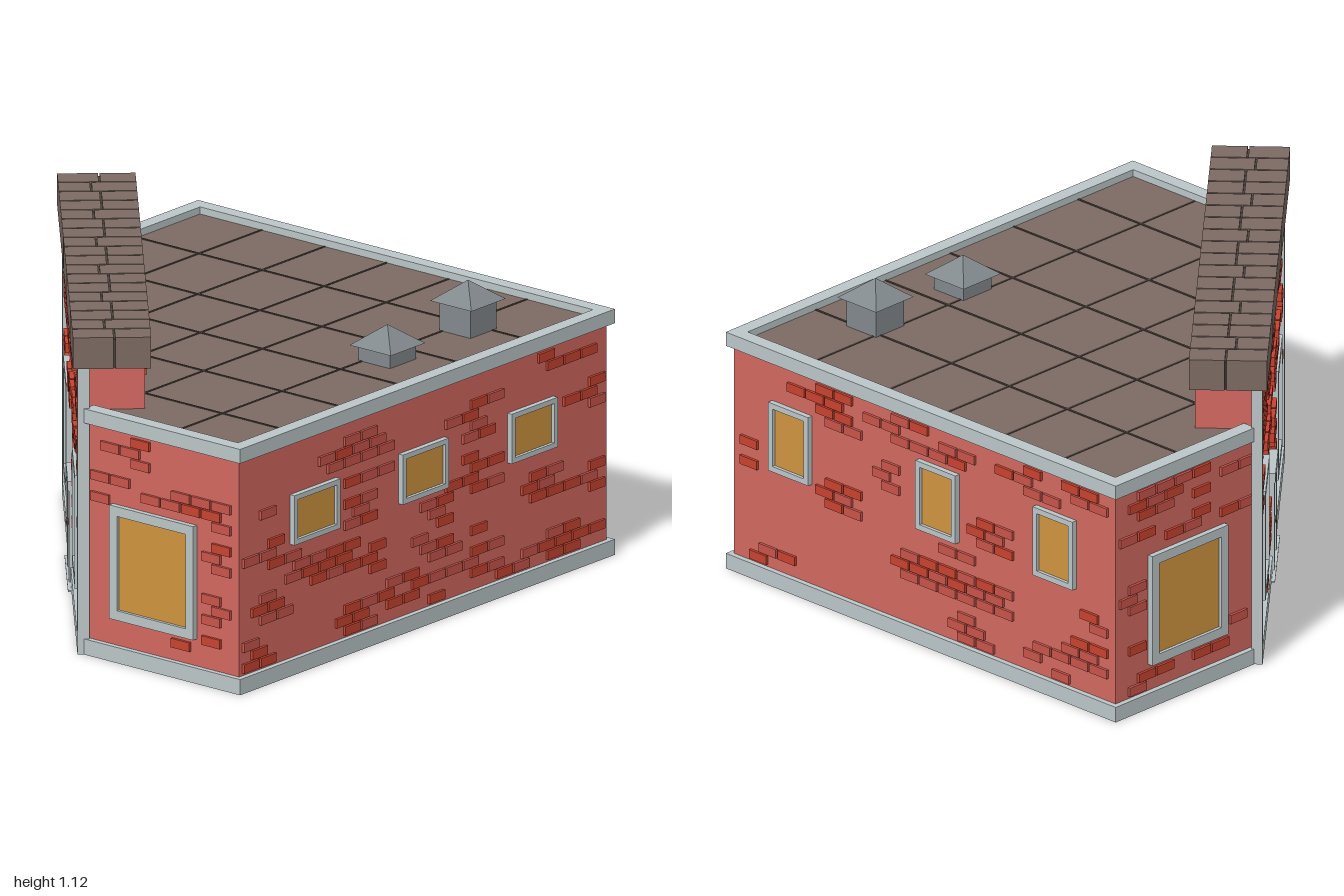
import * as THREE from 'three';
import { mergeGeometries } from 'three/addons/utils/BufferGeometryUtils.js';

const material = (name, color, extra = {}) => {
  const m = new THREE.MeshStandardMaterial({ color, ...extra });
  m.name = name;
  return m;
};
const wallRed = material('wall red', 0xd2685f, { side: THREE.DoubleSide });
const brickRed = material('brick red', 0xc8432f);
const brickPale = material('pale brick', 0xc9544a);
const trimGrey = material('trim grey', 0xbcc6c8);
const glassAmber = material('window amber', 0xd0943f);
const roofBrown = material('roof brown', 0x7c6b63);
const seamDark = material('seam dark', 0x4a403a);
const ventGrey = material('vent grey', 0x82898d, { flatShading: true });

// Box geometry given by its limits
function boxGeo(x0, x1, y0, y1, z0, z1) {
  return new THREE.BoxGeometry(x1 - x0, y1 - y0, z1 - z0)
    .translate((x0 + x1) / 2, (y0 + y1) / 2, (z0 + z1) / 2);
}
function add(group, name, geometry, mat) {
  const mesh = new THREE.Mesh(geometry, mat);
  mesh.name = name;
  group.add(mesh);
}
const box = (group, name, mat, ...limits) => add(group, name, boxGeo(...limits), mat);

// Wall frame: local x runs along the wall, local z points outward
function wallFrame(name, angle, distance) {
  const g = new THREE.Group();
  g.name = name;
  g.rotation.y = angle;
  g.position.set(Math.sin(angle) * distance, 0, Math.cos(angle) * distance);
  return g;
}
function panel(g, u0, u1, y0, y1) {
  add(g, 'wallPanel', new THREE.PlaneGeometry(u1 - u0, y1 - y0)
    .translate((u0 + u1) / 2, (y0 + y1) / 2, 0), wallRed);
}

// Framed window: four bars and a thin pane
function windowUnit(g, [u0, u1, y0, y1], t) {
  const d = 0.02;
  add(g, 'windowFrame', mergeGeometries([
    boxGeo(u0, u1, y0, y0 + t, 0, d), boxGeo(u0, u1, y1 - t, y1, 0, d),
    boxGeo(u0, u0 + t, y0 + t, y1 - t, 0, d), boxGeo(u1 - t, u1, y0 + t, y1 - t, 0, d),
  ]), trimGrey);
  box(g, 'windowPane', glassAmber, u0 + t, u1 - t, y0 + t, y1 - t, 0.002, 0.008);
}

function seeded(seed) {
  let s = seed;
  return () => (s = (s * 16807) % 2147483647) / 2147483647;
}

// Scattered clusters of raised bricks in a running bond, kept clear of openings
function bricks(g, [u0, u1, y0, y1], openings, depth, pale, seed) {
  const random = seeded(seed * 7919);
  const pitch = 0.088, rise = 0.037, w = 0.08, h = 0.032;
  const used = new Set(), groups = [[], []];
  const place = (col, row, tone) => {
    const key = row + ',' + col;
    const x = (col + (row & 1 ? 0.5 : 0)) * pitch, y = 0.08 + row * rise;
    const a = x - w / 2, b = x + w / 2, lo = y - h / 2, hi = y + h / 2;
    if (used.has(key) || a < u0 || b > u1 || lo < y0 || hi > y1) return;
    if (openings.some(o => b > o[0] && a < o[1] && hi > o[2] && lo < o[3])) return;
    used.add(key);
    groups[tone].push(boxGeo(a, b, lo, hi, -0.006, depth));
  };
  const cols = Math.round((u1 - u0) / 0.21), rows = Math.round((y1 - y0) / 0.155);
  for (let i = 0; i < cols; i++) {
    for (let j = 0; j < rows; j++) {
      const u = u0 + (i + 0.15 + 0.7 * random()) / cols * (u1 - u0);
      const y = y0 + (j + 0.15 + 0.7 * random()) / rows * (y1 - y0);
      if (random() > 0.64) continue;
      const col = Math.round(u / pitch), row = Math.round((y - 0.08) / rise);
      for (let dr = -1; dr <= 1; dr++) {
        const shift = dr === 0 ? -1 : 0;
        for (let k = 0; k < 2; k++)
          if (random() < 0.85) place(col + shift + k, row + dr, pale && random() < 0.5 ? 1 : 0);
      }
    }
  }
  groups.forEach((list, i) => list.length &&
    add(g, i ? 'paleBricks' : 'bricks', mergeGeometries(list), i ? brickPale : brickRed));
}

// Straight wall with base trim, roof trim, windows and bricks
function straightWall(name, angle, dist, [from, to], [t0, t1], frame, windows, seed) {
  const g = wallFrame(name, angle, dist);
  panel(g, from, to, 0, 0.84);
  box(g, 'baseTrim', trimGrey, t0, t1, 0, 0.055, -0.012, 0.02);
  box(g, 'roofTrim', trimGrey, t0, t1, 0.815, 0.865, -0.032, 0.02);
  windows.forEach(w => windowUnit(g, w, frame));
  bricks(g, [from, to, 0.055, 0.815], windows, 0.01, true, seed);
  return g;
}

function buildDoor() {
  const door = new THREE.Group();
  door.name = 'door';
  door.position.x = 0.022;
  box(door, 'doorLeaf', trimGrey, -0.07, 0.07, 0, 0.325, 0, 0.008);
  for (const s of [-1, 1]) box(door, 'doorJamb', trimGrey, s * 0.082 - 0.014, s * 0.082 + 0.014, 0, 0.33, 0, 0.024);
  box(door, 'doorLintel', trimGrey, -0.1, 0.1, 0.325, 0.36, 0, 0.028);
  box(door, 'lowerPanel', trimGrey, -0.042, 0.042, 0.03, 0.165, 0.006, 0.016);
  box(door, 'upperPanel', trimGrey, -0.05, 0.05, 0.175, 0.31, 0.006, 0.014);
  box(door, 'doorPane', glassAmber, -0.034, 0.034, 0.19, 0.297, 0.012, 0.018);
  box(door, 'doorHandle', seamDark, -0.068, -0.03, 0.165, 0.174, 0.008, 0.03);
  box(door, 'doorStep', trimGrey, -0.19, 0.19, 0, 0.005, 0, 0.03);
  return door;
}

// Two rows of coping blocks over a dark core
function buildCoping(g) {
  const u0 = -0.863, u1 = 0.9, w0 = -0.228, w1 = 0.034, n = 18, gap = 0.003;
  const step = (u1 - u0) / n, blocks = [];
  for (let i = 0; i < n; i++) {
    const mid = (w0 + w1) / 2 + (i % 3 === 1 ? 0.022 : -0.008);
    for (const [a, b] of [[w0, mid - gap], [mid + gap, w1]])
      blocks.push(boxGeo(u0 + i * step + gap, u0 + (i + 1) * step - gap, 1.01, 1.12, a, b));
  }
  add(g, 'copingBlocks', mergeGeometries(blocks), roofBrown);
  box(g, 'copingCore', seamDark, u0 + 0.008, u1 - 0.008, 1.012, 1.112, w0 + 0.008, w1 - 0.008);
}

export function createModel() {
  const model = new THREE.Group();
  model.name = 'cornerBuilding';

  // Four straight walls
  const row = (centres, half, y0, y1) => centres.map(c => [c - half, c + half, y0, y1]);
  model.add(
    straightWall('frontWall', 0, 0.935, [0.235, 0.91], [0.25, 0.93], 0.034,
      row([0.543], 0.183, 0.15, 0.55), 3),
    straightWall('rightWall', Math.PI / 2, 0.91, [-0.935, 0.98], [-0.955, 1], 0.018,
      row([-0.55, 0.015, 0.583], 0.12, 0.455, 0.63), 5),
    straightWall('backWall', Math.PI, 0.98, [-0.91, 0.865], [-0.93, 0.885], 0.02,
      row([-0.64, 0.045, 0.59], 0.093, 0.42, 0.67), 8),
    straightWall('leftWall', -Math.PI / 2, 0.865, [-0.98, -0.3], [-1, -0.33], 0.034,
      row([-0.64], 0.183, 0.15, 0.55), 11));

  // Diagonal facade rising above the roof
  const angle = -0.845;
  const facade = wallFrame('facade', angle, 0.45);
  panel(facade, -0.81, 0.87, 0, 1.01);
  box(facade, 'parapet', wallRed, -0.79, 0.81, 0.83, 1.01, -0.21, -0.002);
  box(facade, 'leftPost', trimGrey, -0.838, -0.798, 0, 1.01, -0.02, 0.018);
  box(facade, 'rightPost', trimGrey, 0.825, 0.88, 0, 1.01, -0.022, 0.018);
  for (const [a, b] of [[-0.8, -0.075], [0.12, 0.83]])
    box(facade, 'baseTrim', trimGrey, a, b, 0, 0.055, -0.012, 0.018);
  const facadeWindows = row([-0.5, 0.484], 0.152, 0.15, 0.55);
  facadeWindows.forEach(w => windowUnit(facade, w, 0.027));
  bricks(facade, [-0.8, 0.825, 0.055, 1.01], [...facadeWindows, [-0.08, 0.125, 0, 0.37]], 0.016, false, 17);
  facade.add(buildDoor());
  buildCoping(facade);
  model.add(facade);

  // Bricks on the rear of the parapet
  const parapetBack = wallFrame('parapetBack', angle + Math.PI, -0.24);
  bricks(parapetBack, [-0.81, 0.79, 0.85, 1.01], [], 0.012, false, 23);
  model.add(parapetBack);

  // Flat roof with seams that stop at the parapet
  const outline = [[-0.86, -0.975], [0.905, -0.975], [0.905, 0.93], [0.23, 0.93], [-0.86, -0.3]];
  const slab = new THREE.ExtrudeGeometry(new THREE.Shape(outline.map(p => new THREE.Vector2(...p))),
    { depth: 0.02, bevelEnabled: false }).rotateX(Math.PI / 2).translate(0, 0.84, 0);
  add(model, 'roof', slab, roofBrown);
  const seams = [];
  for (const x of [-0.565, -0.29, -0.02, 0.25, 0.59])
    seams.push(boxGeo(x - 0.004, x + 0.004, 0.838, 0.842, -0.95, Math.min(0.9, (0.26 + 0.748 * x) / 0.663)));
  for (const z of [-0.62, -0.285, 0.025, 0.33, 0.64])
    seams.push(boxGeo(Math.max(-0.83, (0.663 * z - 0.26) / 0.748), 0.88, 0.838, 0.8425, z - 0.004, z + 0.004));
  add(model, 'roofSeams', mergeGeometries(seams), seamDark);

  // Two roof vents with pyramid hoods
  for (const [z, eave] of [[-0.575, 0.945], [-0.155, 0.895]]) {
    const vent = new THREE.Group();
    vent.name = 'roofVent';
    vent.position.set(0.645, 0, z);
    box(vent, 'ventBody', ventGrey, -0.068, 0.068, 0.83, eave, -0.068, 0.068);
    add(vent, 'ventHood', new THREE.ConeGeometry(0.09 * Math.SQRT2, 0.07, 4).rotateY(Math.PI / 4)
      .translate(0, eave + 0.035, 0), ventGrey);
    model.add(vent);
  }
  return model;
}
